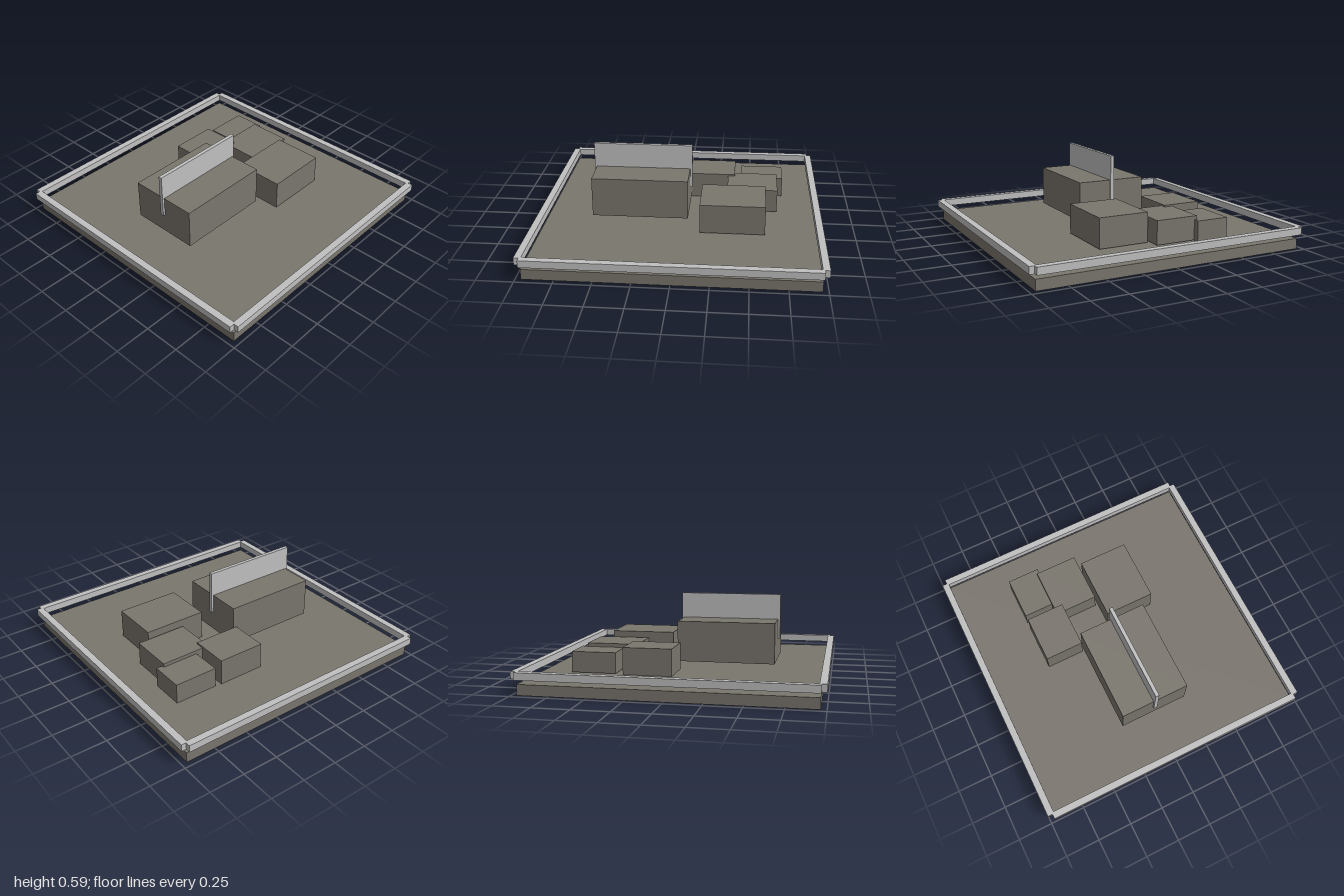
import * as THREE from 'three';

export function createModel() {
  const model = new THREE.Group();
  const stone = new THREE.MeshStandardMaterial({ color: 0x7a766e });
  stone.name = 'warm grey';
  const metal = new THREE.MeshStandardMaterial({ color: 0xc0c0c0 });
  metal.name = 'light grey';

  // Box given by its extents on each axis
  function addBox(name, material, [x0, x1], [y0, y1], [z0, z1]) {
    const mesh = new THREE.Mesh(new THREE.BoxGeometry(x1 - x0, y1 - y0, z1 - z0), material);
    mesh.position.set((x0 + x1) / 2, (y0 + y1) / 2, (z0 + z1) / 2);
    mesh.name = name;
    model.add(mesh);
  }

  // Ground slab
  addBox('baseSlab', stone, [-0.962, 0.962], [0, 0.073], [-0.962, 0.962]);

  // Main building and the upright panel along its roof
  addBox('mainBlock', stone, [-0.62, 0.06], [0.127, 0.41], [-0.25, 0.25]);
  addBox('roofPanel', metal, [-0.635, 0.075], [0.27, 0.587], [-0.013, 0.013]);

  // Smaller buildings
  addBox('frontBlock', stone, [0.15, 0.605], [0.08, 0.29], [0.01, 0.37]);
  addBox('middleBlock', stone, [0.33, 0.695], [0.08, 0.248], [-0.32, -0.01]);
  addBox('backBlock', stone, [0.04, 0.38], [0.073, 0.26], [-0.535, -0.257]);
  addBox('cornerBlock', stone, [0.43, 0.74], [0.078, 0.222], [-0.535, -0.3]);

  // Raised border rails, overlapping at the corners
  const railY = [0.107, 0.157];
  const length = [-0.966, 0.966];
  for (const [start, end, back, side] of [[0.952, 1, 'frontRail', 'leftRail'], [-1, -0.952, 'backRail', 'rightRail']]) {
    addBox(back, metal, length, railY, [start, end]);
    addBox(side, metal, [start, end], railY, length);
  }

  return model;
}
